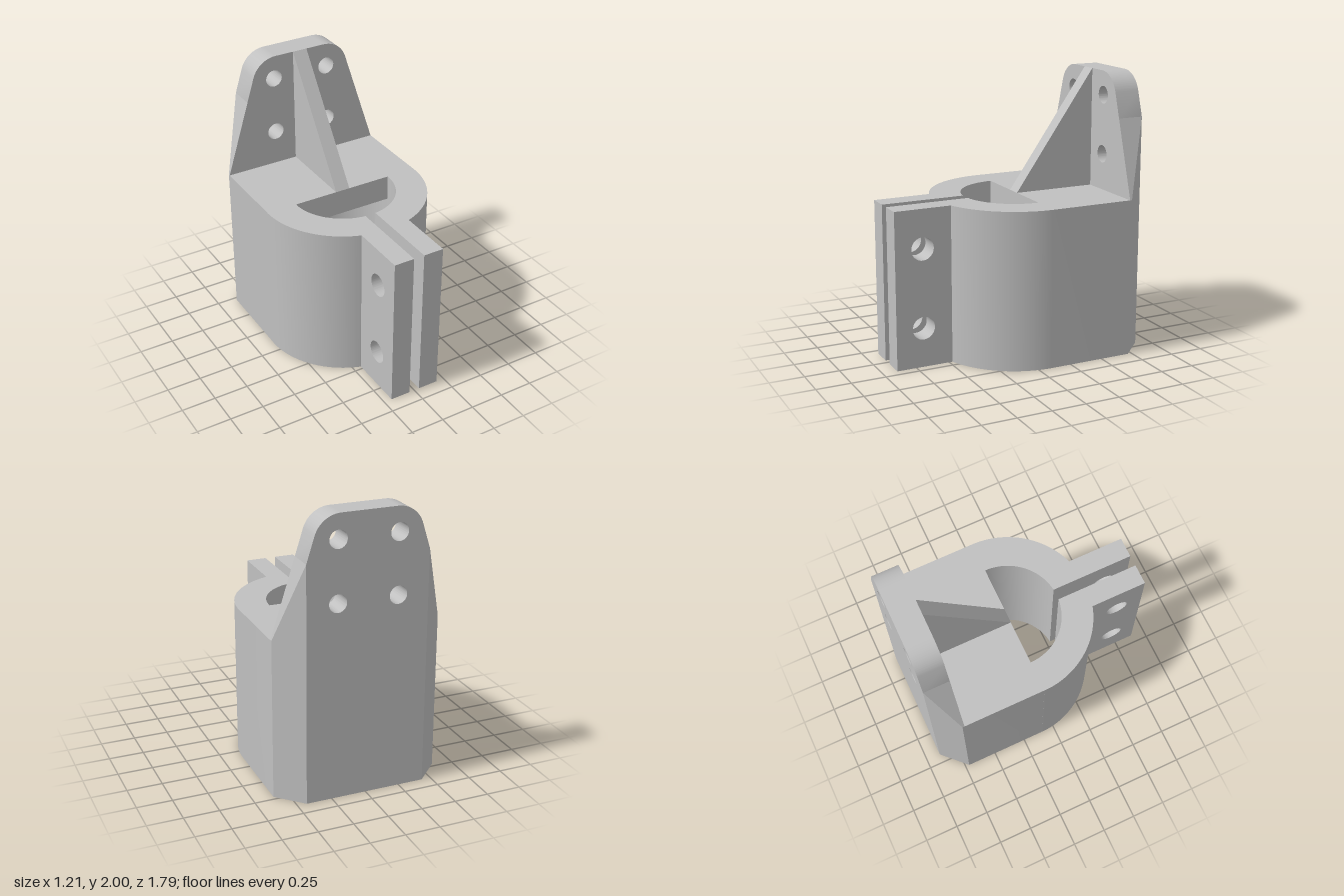
import * as THREE from 'three';
import { toCreasedNormals } from 'three/addons/utils/BufferGeometryUtils.js';
import { ConvexGeometry } from 'three/addons/geometries/ConvexGeometry.js';

const W = 0.606, R_BORE = 0.382, DECK = 1.14;   // half width, bore radius, clamp height
const BACK = 0.893, CHAMFER_X = 0.433, CHAMFER_Z = 0.72, PLATE_Z = 0.705;
const GAP = 0.04, LUG_X = 0.19, LUG_Z = 0.476, AXIS = 0.1;

function extrude(shape, depth) {
  const g = new THREE.ExtrudeGeometry(shape, { depth, bevelEnabled: false, curveSegments: 48 });
  return toCreasedNormals(g, 0.4);
}

function circleHole(x, y, r) {
  return new THREE.Path().absarc(x, y, r, 0, Math.PI * 2, true);
}

function polygon(points) {
  return new THREE.Shape(points.map(([x, y]) => new THREE.Vector2(x, y)));
}

export function createModel() {
  const model = new THREE.Group();
  model.name = 'clampBracket';
  const grey = new THREE.MeshStandardMaterial({ color: 0xc0c0c0 });
  grey.name = 'plain grey';

  function add(name, geometry) {
    const mesh = new THREE.Mesh(geometry, grey);
    mesh.name = name;
    model.add(mesh);
  }

  // Split collar, drawn in plan (shape y = -z) and extruded upwards
  const collar = new THREE.Shape();
  const rOut = Math.hypot(LUG_X, LUG_Z + AXIS);
  const aOut = Math.atan2(-(LUG_Z + AXIS), LUG_X);
  const aIn = -Math.acos(GAP / R_BORE);
  collar.moveTo(W, CHAMFER_Z);
  collar.lineTo(CHAMFER_X, BACK);
  collar.lineTo(-CHAMFER_X, BACK);
  collar.lineTo(-W, CHAMFER_Z);
  collar.lineTo(-W, AXIS);
  collar.absarc(0, AXIS, rOut, Math.PI, Math.PI - aOut, false);
  collar.lineTo(-GAP, -LUG_Z);
  collar.absarc(0, AXIS, R_BORE, Math.PI - aIn, aIn, true);
  collar.lineTo(GAP, -LUG_Z);
  collar.lineTo(LUG_X, -LUG_Z);
  collar.absarc(0, AXIS, rOut, aOut, 0, false);
  collar.closePath();
  add('collar', extrude(collar, DECK).rotateX(-Math.PI / 2));

  // Half-disc cover closing the rear half of the bore at the top
  const cover = new THREE.Shape();
  cover.absarc(0, AXIS, R_BORE, 0, Math.PI, false);
  cover.closePath();
  add('boreCover', extrude(cover, 0.19).rotateX(-Math.PI / 2).translate(0, DECK - 0.19, 0));

  // Two clamping lugs with bolt holes, drawn from the side (shape x = -z)
  for (const [name, x] of [['leftLug', GAP], ['rightLug', -LUG_X]]) {
    const lug = polygon([[-BACK, 0], [-LUG_Z, 0], [-LUG_Z, DECK], [-BACK, DECK]]);
    for (const y of [0.285, 0.857]) lug.holes.push(circleHole(-0.69, y, 0.083));
    add(name, extrude(lug, LUG_X - GAP).rotateY(Math.PI / 2).translate(x, 0, 0));
  }

  // Mounting plate with rounded top corners and four screw holes
  const slopeY = 1.69;                                   // where chamfer meets the sloping side
  const slope = Math.atan2(W - CHAMFER_X, slopeY - DECK);
  const r = 0.19, cx = 0.196, cy = 2 - r;
  const plate = new THREE.Shape();
  plate.moveTo(-CHAMFER_X, DECK);
  plate.lineTo(CHAMFER_X, DECK);
  plate.lineTo(CHAMFER_X, slopeY);
  plate.absarc(cx, cy, r, slope, Math.PI / 2, false);
  plate.absarc(-cx, cy, r, Math.PI / 2, Math.PI - slope, false);
  plate.lineTo(-CHAMFER_X, slopeY);
  plate.closePath();
  for (const x of [-0.214, 0.214])
    for (const y of [1.4, 1.828]) plate.holes.push(circleHole(x, y, 0.063));
  add('mountingPlate', extrude(plate, BACK - PLATE_Z).translate(0, 0, -BACK));

  // Chamfered wedges that widen the plate down to the collar
  for (const [name, s] of [['leftPlateWedge', 1], ['rightPlateWedge', -1]]) {
    const corners = [
      [W, DECK, -PLATE_Z], [W, DECK, -CHAMFER_Z],
      [CHAMFER_X, DECK, -PLATE_Z], [CHAMFER_X, DECK, -BACK],
      [CHAMFER_X, slopeY, -PLATE_Z], [CHAMFER_X, slopeY, -BACK],
    ].map(([x, y, z]) => new THREE.Vector3(s * x, y, z));
    add(name, new ConvexGeometry(corners));
  }

  // Triangular stiffening rib
  const rib = polygon([[AXIS, DECK], [PLATE_Z, DECK], [PLATE_Z, 2]]);
  add('rib', extrude(rib, 0.11).rotateY(Math.PI / 2).translate(-0.055, 0, 0));

  return model;
}
